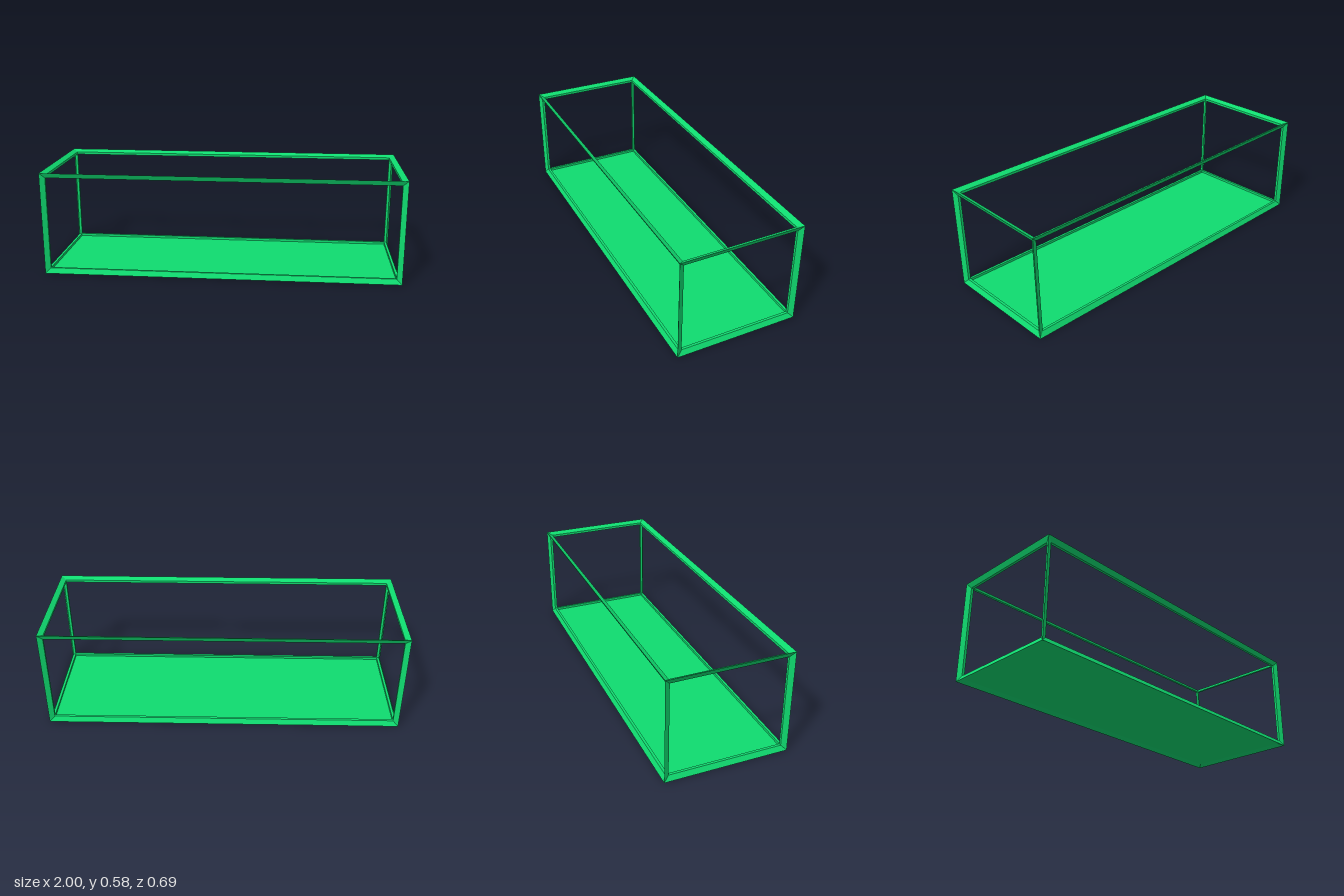
import * as THREE from 'three';

const HALF = [1, 0.2925, 0.343]; // half extents of the whole cage
const D = 0.0145;                // half of the bar width

// Bar along one axis: a four-sided section whose ends are mitred into the neighbours.
// su and sv choose which of the four parallel edges of the box it follows.
function barGeometry(axis, su, sv) {
  const u = (axis + 1) % 3, v = (axis + 2) % 3;
  // [inset along u, inset along v, inset of the ends], starting at the outer corner
  const section = [[0, 0, 0], [D, 2 * D, 2 * D], [2 * D, 2 * D, 2 * D], [2 * D, D, 2 * D]];
  const positions = [];
  for (const end of [-1, 1]) {
    for (const [a, b, c] of section) {
      const p = [0, 0, 0];
      p[axis] = end * (HALF[axis] - c);
      p[u] = su * (HALF[u] - a);
      p[v] = sv * (HALF[v] - b);
      positions.push(...p);
    }
  }
  const index = [];
  for (let i = 0; i < 4; i++) {
    const j = (i + 1) % 4;
    // mirrored bars need the opposite winding
    if (su * sv < 0) index.push(i, i + 4, j, j, i + 4, j + 4);
    else index.push(i, j, i + 4, j, j + 4, i + 4);
  }
  const indexed = new THREE.BufferGeometry();
  indexed.setAttribute('position', new THREE.Float32BufferAttribute(positions, 3));
  indexed.setIndex(index);
  const geometry = indexed.toNonIndexed();
  geometry.computeVertexNormals();
  return geometry;
}

export function createModel() {
  const model = new THREE.Group();
  model.name = 'openBoxFrame';
  const green = new THREE.MeshStandardMaterial({ color: 0x0fdc70, flatShading: true, side: THREE.DoubleSide });

  // Twelve bars, one on each edge of the box
  const frame = new THREE.Group();
  frame.name = 'frame';
  frame.position.y = HALF[1];
  const names = ['lengthBar', 'post', 'crossBar'];
  for (let axis = 0; axis < 3; axis++) {
    for (const su of [-1, 1]) {
      for (const sv of [-1, 1]) {
        const bar = new THREE.Mesh(barGeometry(axis, su, sv), green);
        bar.name = names[axis];
        frame.add(bar);
      }
    }
  }
  model.add(frame);

  // Floor sheet, let into the middle of the bottom bars
  const floor = new THREE.Mesh(new THREE.PlaneGeometry(2 * (HALF[0] - D), 2 * (HALF[2] - D)), green);
  floor.name = 'floor';
  floor.rotation.x = -Math.PI / 2;
  floor.position.y = D;
  model.add(floor);

  return model;
}
